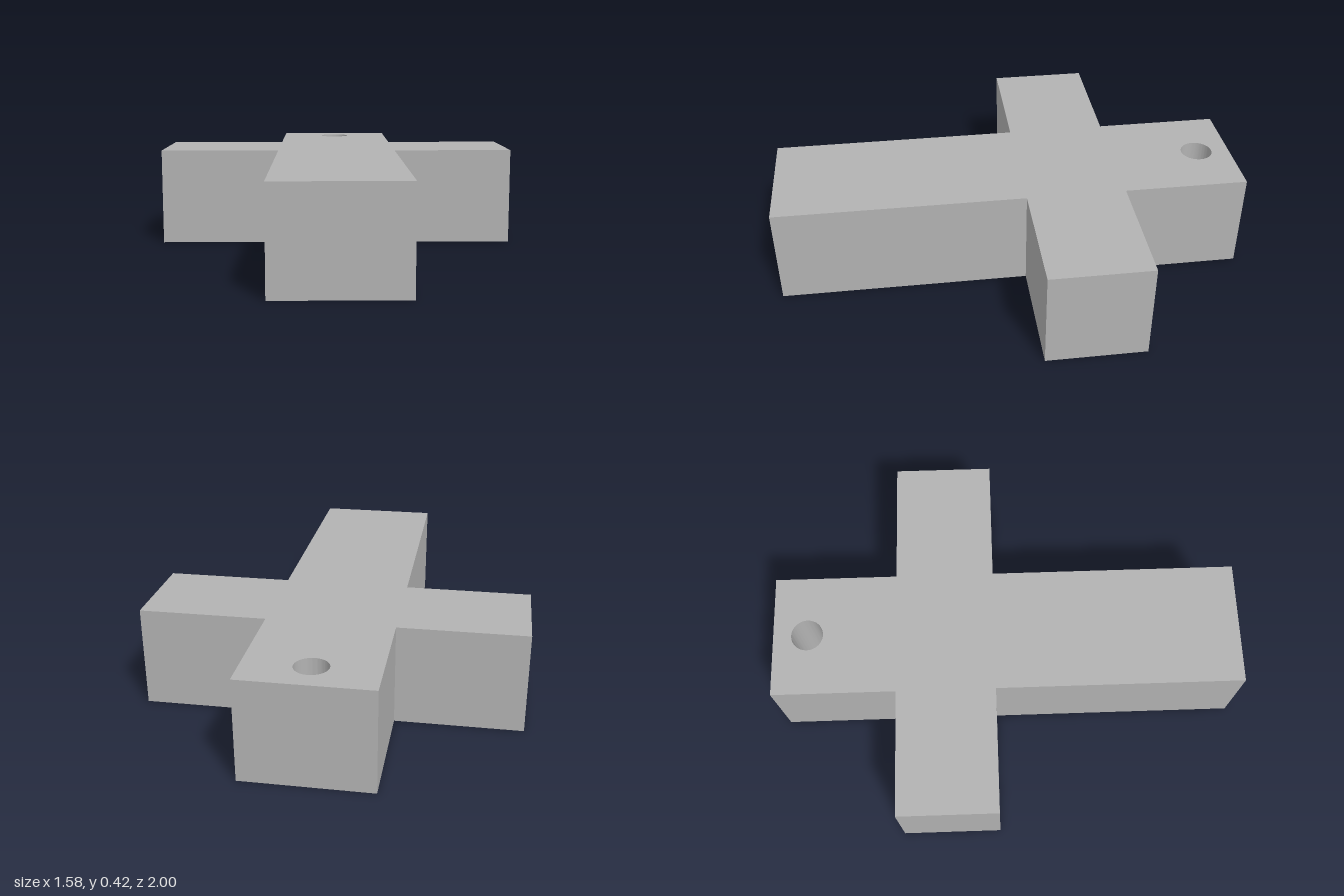
import * as THREE from 'three';
import { toCreasedNormals } from 'three/addons/utils/BufferGeometryUtils.js';

export function createModel() {
  const group = new THREE.Group();
  group.name = 'crossPendant';
  const grey = new THREE.MeshStandardMaterial({ color: 0xb2b2b2 });
  grey.name = 'grey';

  const height = 0.421;
  const stem = 0.263, arm = 0.789;        // half widths
  const armBack = 0.474, armFront = 0.053; // distances behind the centre

  // Cross outline, drawn with the back end pointing up
  const half = [[stem, -1], [stem, armFront], [arm, armFront], [arm, armBack], [stem, armBack], [stem, 1]];
  const mirrored = half.map(([x, y]) => [-x, y]).reverse();
  const outline = new THREE.Shape([...half, ...mirrored].map(([x, y]) => new THREE.Vector2(x, y)));

  // Hanging hole through the short end
  outline.holes.push(new THREE.Path().absarc(0, 0.855, 0.068, 0, Math.PI * 2, true));

  const solid = new THREE.ExtrudeGeometry(outline, { depth: height, bevelEnabled: false, curveSegments: 32 });
  solid.rotateX(-Math.PI / 2);

  const cross = new THREE.Mesh(toCreasedNormals(solid, Math.PI / 6), grey);
  cross.name = 'crossBody';
  group.add(cross);
  return group;
}
